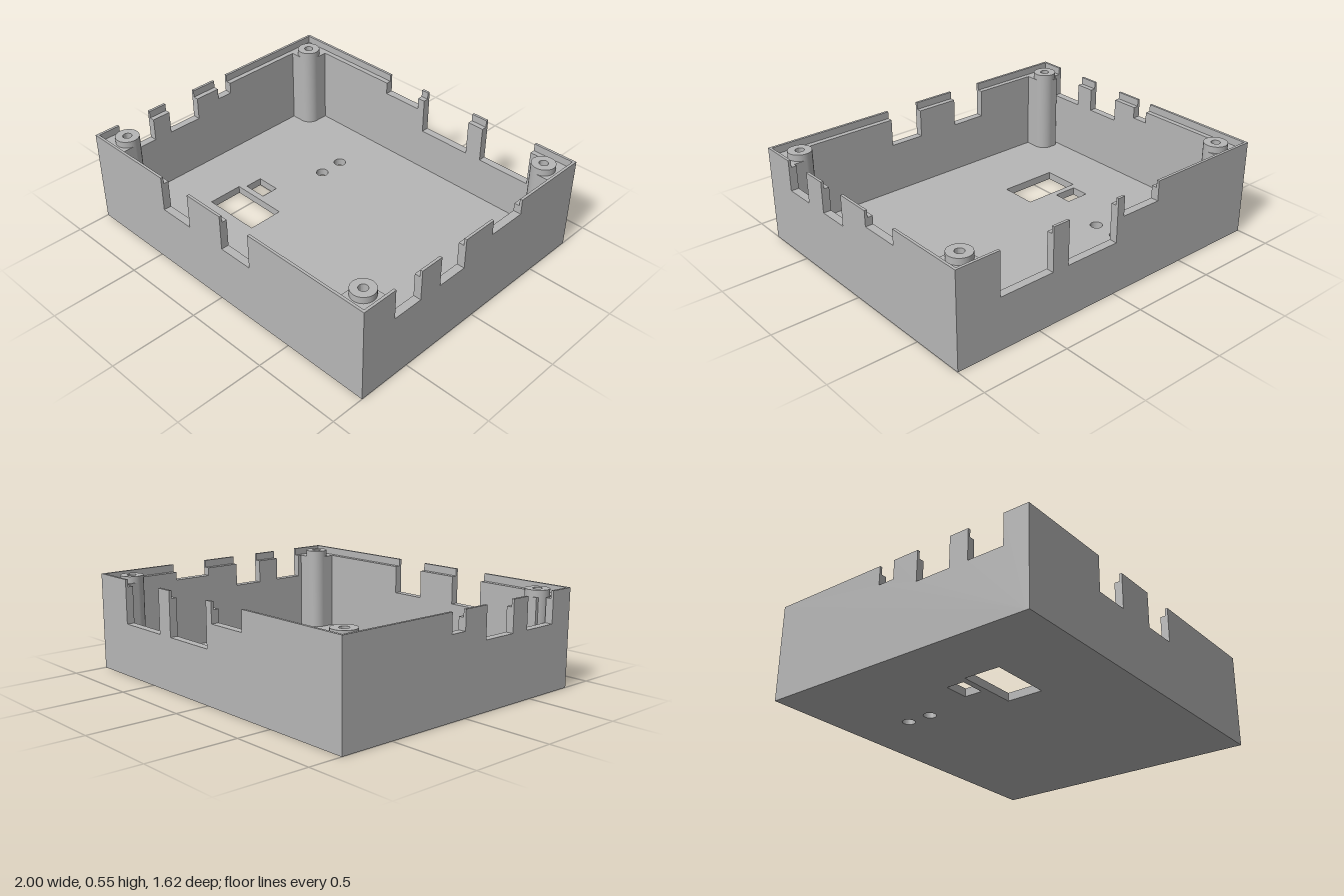
import * as THREE from 'three';
import { toCreasedNormals } from 'three/addons/utils/BufferGeometryUtils.js';

const plastic = new THREE.MeshStandardMaterial({ color: 0xb6b6b6 });
plastic.name = 'grey plastic';

const X = 1, Z = 0.81;              // outer half sizes
const LIP = 0.015, WALL = 0.045;    // thickness of the thin lip and of the whole wall
const TOP = 0.545, STEP = 0.503, FLOOR = 0.045;

// Cable openings of each wall: start, end, bottom edge
const openings = {
  front: [[-0.43, -0.22, 0.342], [0.03, 0.235, 0.342]],
  back: [[-0.295, -0.05, 0.432], [-0.005, 0.32, 0.297], [0.42, 0.745, 0.297]],
  left: [[-0.34, -0.11, 0.457], [0.1, 0.28, 0.37], [0.42, 0.6, 0.37]],
  right: [[-0.11, -0.015, 0.437], [0.14, 0.345, 0.37], [0.457, 0.665, 0.37]],
};

// Wall layer with notches cut from its top edge
function wallLayer(half, top, notches, thickness) {
  const s = new THREE.Shape();
  s.moveTo(half, 0);
  s.lineTo(half, top);
  for (const [a, b, y] of [...notches].reverse()) {
    s.lineTo(b, top);
    s.lineTo(b, y);
    s.lineTo(a, y);
    s.lineTo(a, top);
  }
  s.lineTo(-half, top);
  s.lineTo(-half, 0);
  return new THREE.ExtrudeGeometry(s, { depth: thickness, bevelEnabled: false });
}

function rectPath(x0, x1, y0, y1, target = new THREE.Path()) {
  target.moveTo(x0, y0);
  target.lineTo(x1, y0);
  target.lineTo(x1, y1);
  target.lineTo(x0, y1);
  target.closePath();
  return target;
}

export function createModel() {
  const model = new THREE.Group();
  model.name = 'enclosure base';
  const add = (name, geometry, parent = model) => {
    const mesh = new THREE.Mesh(geometry, plastic);
    mesh.name = name;
    parent.add(mesh);
    return mesh;
  };

  // Floor plate with button, display and indicator openings
  const plate = rectPath(-X + WALL, X - WALL, -Z + WALL, Z - WALL, new THREE.Shape());
  plate.holes.push(rectPath(-0.595, -0.455, -0.105, 0));
  plate.holes.push(rectPath(-0.625, -0.28, -0.35, -0.14));
  for (const z of [-0.455, -0.305]) {
    plate.holes.push(new THREE.Path().absarc(-0.38, -z, 0.035, 0, Math.PI * 2, true));
  }
  const floor = new THREE.ExtrudeGeometry(plate, { depth: FLOOR, bevelEnabled: false, curveSegments: 24 });
  add('floor', floor.rotateX(-Math.PI / 2));

  // Four walls, each a tall thin lip outside a lower thick layer
  const layers = [
    ['Lip', TOP, 0, LIP],
    ['Wall', STEP, LIP, WALL],
  ];
  for (const [suffix, top, outer, inner] of layers) {
    const t = inner - outer;
    add('front' + suffix, wallLayer(X - outer, top, openings.front, t)).position.z = Z - inner;
    add('back' + suffix, wallLayer(X - outer, top, openings.back, t)).position.z = -Z + outer;
    const left = add('left' + suffix, wallLayer(Z - inner, top, openings.left, t));
    left.position.x = X - outer;
    const right = add('right' + suffix, wallLayer(Z - inner, top, openings.right, t));
    right.position.x = -X + inner;
    left.rotation.y = right.rotation.y = -Math.PI / 2;
  }

  // Corner screw posts, webbed into the walls
  const R = 0.066, BORE = 0.025, PX = 0.88, PZ = 0.688, POST_TOP = 0.54;
  const profile = [[R, FLOOR], [R, POST_TOP], [BORE, POST_TOP], [BORE, 0.15], [0, 0.15]]
    .map(([r, y]) => new THREE.Vector2(r, y));
  const postGeometry = toCreasedNormals(new THREE.LatheGeometry(profile, 40), 0.6);
  // The web stays below the bore by wrapping only its wall side
  const web = (x0, x1, z0, z1, parent) => {
    const h = STEP - FLOOR;
    const box = add('postWeb', new THREE.BoxGeometry(Math.abs(x1 - x0), h, Math.abs(z1 - z0)), parent);
    box.position.set((x0 + x1) / 2, FLOOR + h / 2, (z0 + z1) / 2);
  };
  for (const sx of [-1, 1]) {
    for (const sz of [-1, 1]) {
      const corner = new THREE.Group();
      corner.name = 'screwPost';
      model.add(corner);
      add('post', postGeometry, corner).position.set(sx * PX, 0, sz * PZ);
      const wx = X - WALL, wz = Z - WALL, clear = BORE + 0.01;
      // web to the front or back wall
      web(sx * (PX - R), sx * wx, sz * (PZ + clear), sz * wz, corner);
      // web to the side wall, trimmed beside the opening nearest the corner
      const trimmed = sx < 0 && sz > 0;
      web(sx * (PX + clear), sx * (trimmed ? 0.925 : wx), sz * (PZ - R), sz * wz, corner);
      // remaining tangent strips beside the post
      web(sx * (PX - R), sx * (PX - clear), sz * PZ, sz * wz, corner);
      web(sx * PX, sx * (PX + clear), sz * (PZ - R), sz * (PZ - clear), corner);
    }
  }
  return model;
}
